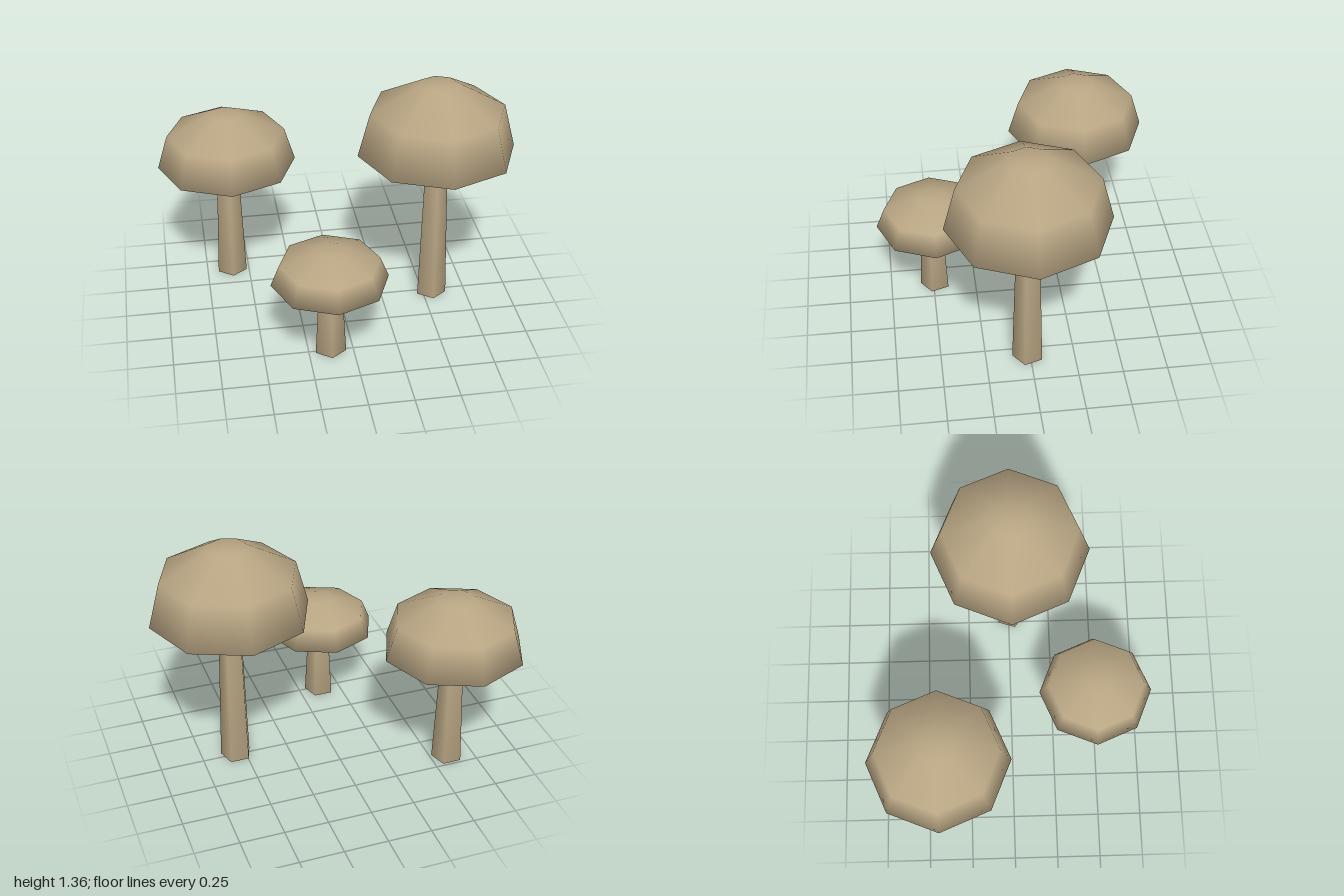
import * as THREE from 'three';

const tan = new THREE.MeshStandardMaterial({ color: 0xb8a583 });
tan.name = 'mushroomTan';

// Smooth closed solid turned from [radius, height] points, bottom to top
function turned(name, points, sides) {
  const profile = points.map(([r, y]) => new THREE.Vector2(r, y));
  const mesh = new THREE.Mesh(new THREE.LatheGeometry(profile, sides), tan);
  mesh.name = name;
  return mesh;
}

function mushroom({ name, x, z, radius, bottom, top }) {
  const group = new THREE.Group();
  group.name = name;
  group.position.set(x, 0, z);
  const at = (t) => bottom + (top - bottom) * t;

  // Tapered five-sided stem, running a little into the cap
  const stemTop = bottom + 0.03;
  group.add(turned('stem', [[0, 0], [0.09, 0], [0.065, stemTop], [0, stemTop]], 5));

  // Eight-sided cap: shallow underside, wide rim, shoulder, flat crown
  group.add(turned('cap', [
    [0, bottom],
    [radius * 0.56, bottom],
    [radius, at(0.14)],
    [radius * 0.85, at(0.68)],
    [radius * 0.25, top],
    [0, top],
  ], 8));
  return group;
}

export function createModel() {
  const model = new THREE.Group();
  model.name = 'mushroomCluster';
  [
    { name: 'tallMushroom', x: 0.55, z: 0.01, radius: 0.448, bottom: 0.883, top: 1.355 },
    { name: 'middleMushroom', x: -0.6, z: -0.412, radius: 0.4, bottom: 0.686, top: 1.052 },
    { name: 'smallMushroom', x: -0.127, z: 0.486, radius: 0.324, bottom: 0.427, top: 0.652 },
  ].forEach((m) => model.add(mushroom(m)));
  return model;
}
